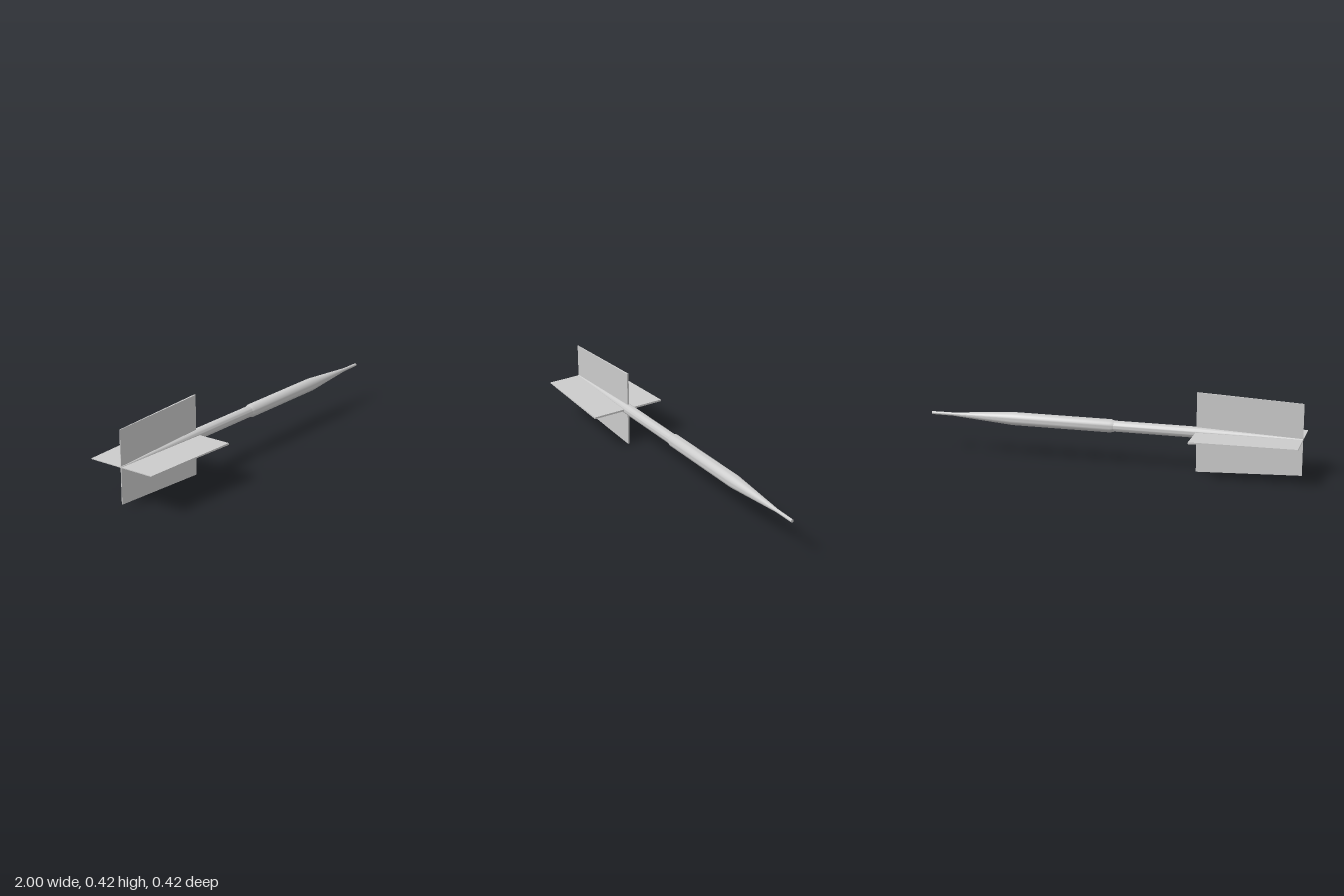
import * as THREE from 'three';
import { toCreasedNormals } from 'three/addons/utils/BufferGeometryUtils.js';

const AXIS_Y = 0.21;

export function createModel() {
  const dart = new THREE.Group();
  dart.name = 'dart';
  const material = new THREE.MeshStandardMaterial({ color: 0xcccccc });

  // Adds a turned part along x from [x, radius] pairs
  const addTurned = (name, profile) => {
    const points = profile.map(([x, r]) => new THREE.Vector2(r, x));
    const geometry = new THREE.LatheGeometry(points, 32).rotateZ(-Math.PI / 2);
    const mesh = new THREE.Mesh(toCreasedNormals(geometry, 0.5), material);
    mesh.name = name;
    mesh.position.y = AXIS_Y;
    dart.add(mesh);
  };

  // Shaft tapers to the tail; barrel narrows to a thin point
  addTurned('shaft', [[-1, 0], [-1, 0.006], [-0.45, 0.029], [-0.02, 0.029]]);
  addTurned('barrel', [[-0.02, 0.029], [0, 0.035], [0.54, 0.035], [0.88, 0.009]]);
  addTurned('tip', [[0.88, 0.009], [1, 0.008], [1, 0]]);

  // Four fins, wider and thicker at the leading edge
  const flights = new THREE.Group();
  flights.name = 'flights';
  flights.position.y = AXIS_Y;
  for (let i = 0; i < 4; i++) {
    const geometry = new THREE.BoxGeometry(0.545, 0.21, 0.01).translate(-0.7275, 0.105, 0);
    const p = geometry.attributes.position;
    for (let v = 0; v < p.count; v++) {
      if (p.getX(v) < -0.9) {
        p.setY(v, p.getY(v) * 0.89);
        p.setZ(v, p.getZ(v) * 0.4);
      }
    }
    geometry.computeVertexNormals();
    const fin = new THREE.Mesh(geometry, material);
    fin.name = 'fin' + (i + 1);
    fin.rotation.x = i * Math.PI / 2;
    flights.add(fin);
  }
  dart.add(flights);
  return dart;
}
